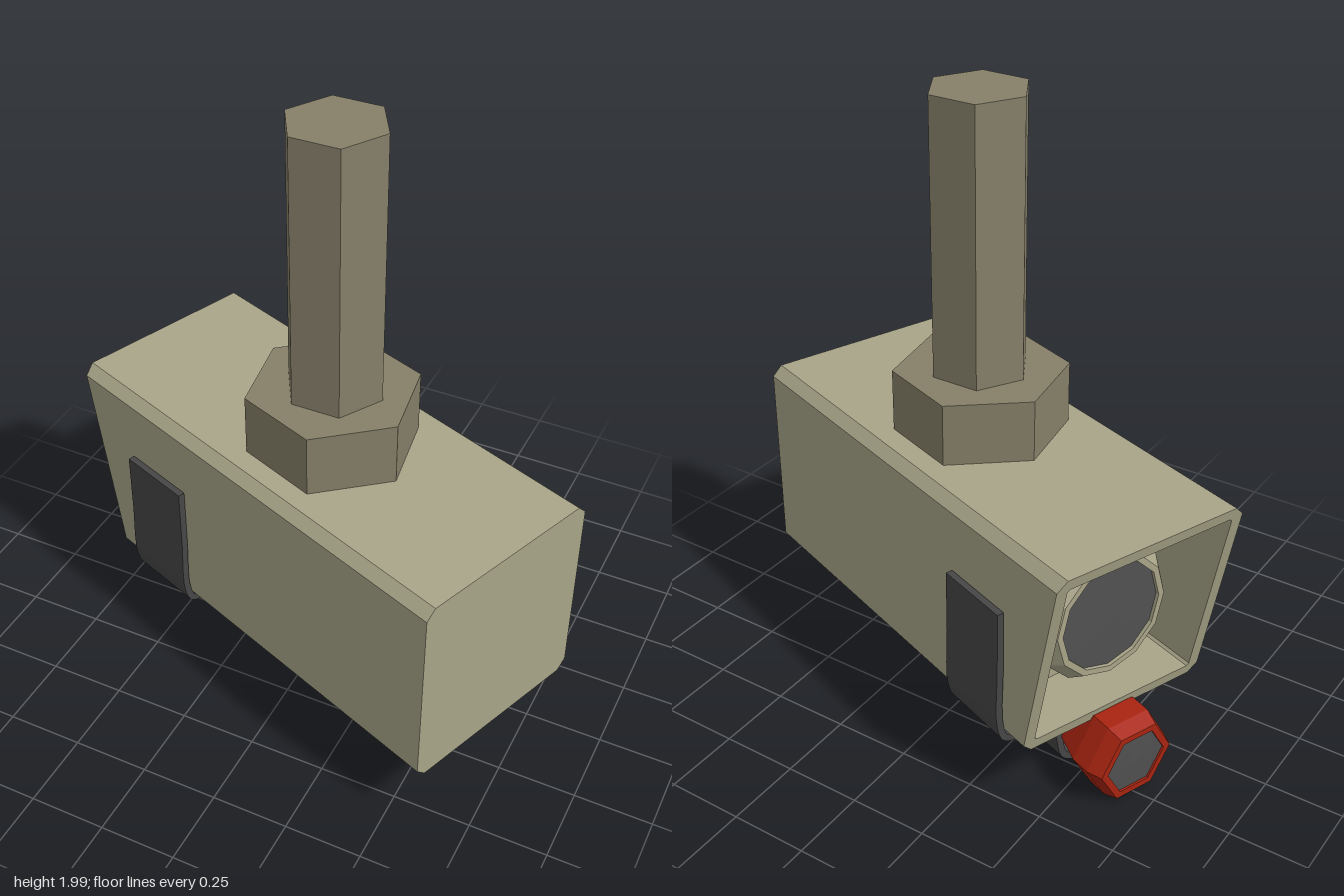
import * as THREE from 'three';

const paint = (name, color, side = THREE.FrontSide) => {
  const m = new THREE.MeshStandardMaterial({ color, flatShading: true, side });
  m.name = name;
  return m;
};

export function createModel() {
  const model = new THREE.Group();
  model.name = 'securityCamera';
  const casing = paint('khaki casing', 0xa9a589);
  const metal = paint('dull metal', 0x868069);
  const strapGrey = paint('strap charcoal', 0x464646);
  const glass = paint('grey glass', 0x515151);
  const red = paint('torch red', 0xa92410);

  const add = (parent, name, geometry, material, x = 0, y = 0, z = 0) => {
    const mesh = new THREE.Mesh(geometry, material);
    mesh.name = name;
    mesh.position.set(x, y, z);
    parent.add(mesh);
    return mesh;
  };

  // Extrudes a (z, y) section from x = from towards -x
  const extrudeAlongX = (shape, from, length) =>
    new THREE.ExtrudeGeometry(shape, { depth: length, bevelEnabled: false })
      .rotateY(-Math.PI / 2).translate(from, 0, 0);

  // Lathe whose axis runs towards -x; profile entries are [radius, distance]
  const latheAlongX = (profile, sides) =>
    new THREE.LatheGeometry(profile.map(([r, d]) => new THREE.Vector2(r, d)), sides)
      .rotateZ(Math.PI / 2);

  // Rectangle with cut corners
  const cutRect = (w, y0, y1, c, Type = THREE.Shape) => {
    const pts = [[-w + c, y0], [w - c, y0], [w, y0 + c], [w, y1 - c],
      [w - c, y1], [-w + c, y1], [-w, y1 - c], [-w, y0 + c]];
    return new Type(pts.map(([a, b]) => new THREE.Vector2(a, b)));
  };

  // Everything turned with the camera body
  const head = new THREE.Group();
  head.name = 'cameraHead';
  head.rotation.y = -0.36;
  model.add(head);
  const body = new THREE.Group();
  body.name = 'body';
  body.rotation.z = -0.009;
  head.add(body);

  // Casing: solid rear block and open hood with a raked front edge
  const bottom = 0.243, top = 0.924, recess = -0.42;
  add(body, 'rearCasing', extrudeAlongX(cutRect(0.335, bottom, top, 0.032), 0.77, 0.77 - recess), casing);
  const hoodShape = cutRect(0.335, bottom, top, 0.032);
  hoodShape.holes.push(cutRect(0.297, bottom + 0.038, top - 0.038, 0.008, THREE.Path));
  const hood = extrudeAlongX(hoodShape, recess, 0.35);
  const p = hood.attributes.position;
  for (let i = 0; i < p.count; i++) {
    if (p.getX(i) < recess - 0.1) {
      p.setX(i, -0.615 - 0.155 * (p.getY(i) - bottom) / (top - bottom));
    }
  }
  hood.computeVertexNormals();
  add(body, 'hood', hood, casing);

  // Lens barrel and glass
  add(body, 'lensBarrel', latheAlongX(
    [[0.235, 0], [0.235, 0.13], [0.2, 0.18], [0.18, 0.18], [0.18, 0.165]], 12), casing, recess, 0.58, 0);
  add(body, 'lensGlass', latheAlongX([[0.182, 0], [0, 0.004]], 12), glass, recess - 0.168, 0.58, 0);

  // Torch slung below the casing
  const torch = new THREE.Group();
  torch.name = 'torch';
  torch.position.set(-0.05, 0.154, 0);
  torch.rotation.z = 0.03;
  head.add(torch);
  add(torch, 'torchShell', latheAlongX([[0, 0], [0.06, 0], [0.1, 0.035], [0.117, 0.075], [0.117, 0.47],
    [0.15, 0.57], [0.15, 0.635], [0.132, 0.685], [0.108, 0.685], [0.108, 0.678]], 6), red);
  add(torch, 'torchGlass', latheAlongX([[0.109, 0], [0, 0.003]], 6), glass, -0.678, 0, 0);

  // Strap: one band down both sides, under the casing and around the torch
  const half = [[0.349, 0.7], [0.349, 0.5], [0.349, 0.3], [0.325, 0.24], [0.26, 0.23],
    [0.17, 0.222], [0.135, 0.19], [0.123, 0.13], [0.105, 0.065], [0.06, 0.038]];
  const path = [...half, ...half.map(([z, y]) => [-z, y]).reverse()];
  const curve = new THREE.CatmullRomCurve3(path.map(([z, y]) => new THREE.Vector3(z, y, 0)));
  const outer = [], inner = [];
  for (let i = 0; i <= 72; i++) {
    const c = curve.getPoint(i / 72), t = curve.getTangent(i / 72);
    outer.push(new THREE.Vector2(c.x - t.y * 0.011, c.y + t.x * 0.011));
    inner.push(new THREE.Vector2(c.x + t.y * 0.011, c.y - t.x * 0.011));
  }
  add(head, 'strap', extrudeAlongX(new THREE.Shape([...outer, ...inner.reverse()]), -0.268, 0.255), strapGrey);

  // Mounting nut and hexagonal pole
  add(model, 'mountNut', new THREE.CylinderGeometry(0.271, 0.271, 0.215, 6), metal, 0.055, 1.0175, 0.022)
    .rotation.y = 0.16;
  add(model, 'mountPole', new THREE.CylinderGeometry(0.156, 0.156, 0.88, 6), metal, 0.06, 1.56, 0.022)
    .rotation.y = Math.PI / 6;

  return model;
}
